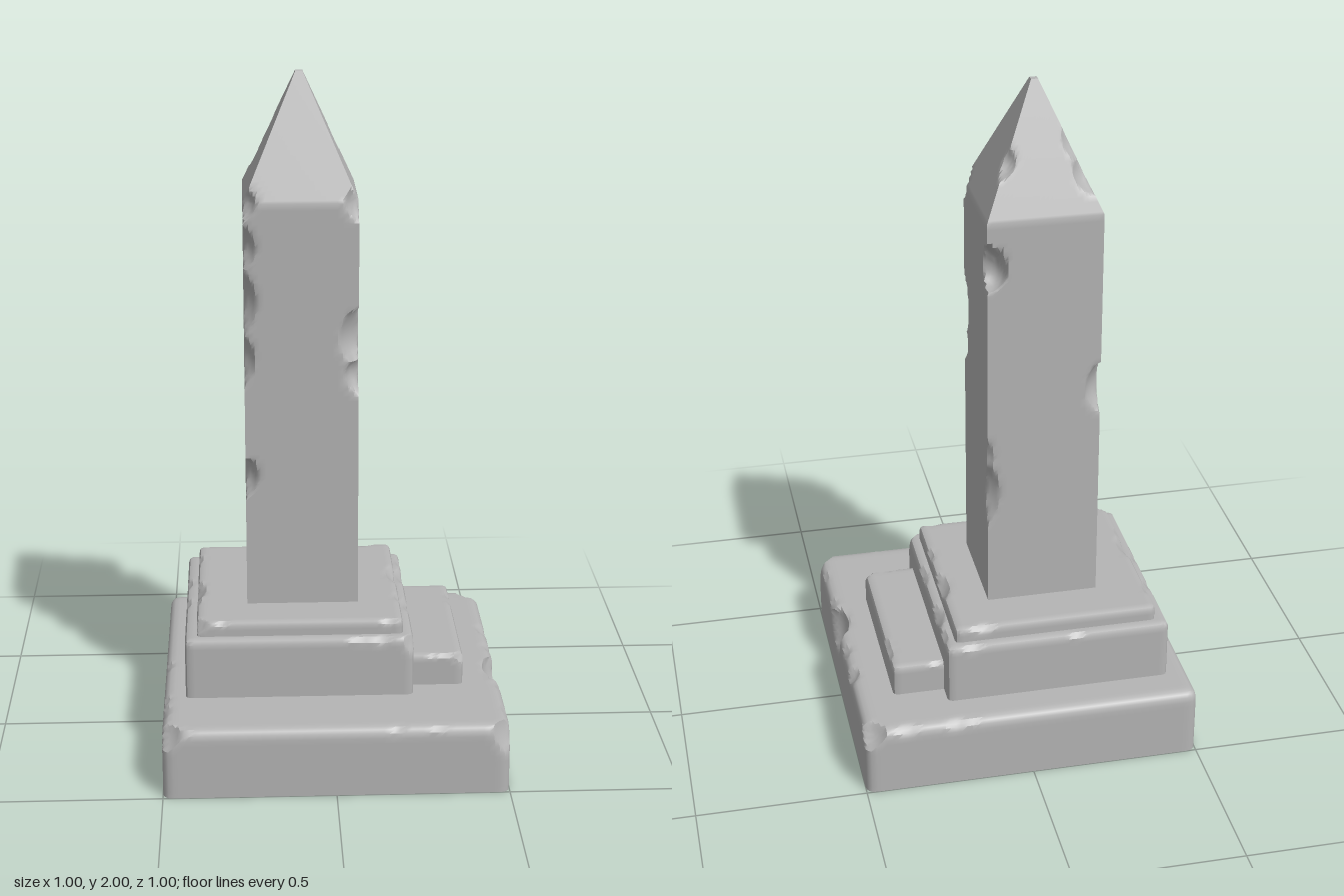
import * as THREE from 'three';
import { toCreasedNormals } from 'three/addons/utils/BufferGeometryUtils.js';

const stone = new THREE.MeshStandardMaterial({ color: 0xb4b4b4 });
stone.name = 'grey stone';

// Small seeded random for weathering
let seed = 7;
const rand = () => (seed = (seed * 16807) % 2147483647) / 2147483647;

// A chip knocks a shallow bowl out of an edge: centre, outward direction, radius, depth
const chip = (x, y, z, nx, ny, nz, radius, depth) => ({
  centre: new THREE.Vector3(x, y, z),
  normal: new THREE.Vector3(nx, ny, nz).normalize(),
  radius, depth,
});

function carve(v, chips) {
  const d = new THREE.Vector3();
  for (const c of chips) {
    d.subVectors(v, c.centre);
    const s = d.dot(c.normal);
    const t = d.addScaledVector(c.normal, -s).length() / c.radius;
    if (t >= 1 || s < -0.15) continue;
    const limit = -c.depth * (1 - t * t);
    if (s > limit) v.addScaledVector(c.normal, limit - s);
  }
}

// Apply a rule to every vertex, then smooth all but the sharp edges
function shape(geometry, rule) {
  const pos = geometry.attributes.position;
  const v = new THREE.Vector3();
  for (let i = 0; i < pos.count; i++) {
    v.fromBufferAttribute(pos, i);
    rule(v);
    pos.setXYZ(i, v.x, v.y, v.z);
  }
  geometry.deleteAttribute('normal');
  geometry.deleteAttribute('uv');
  return toCreasedNormals(geometry, 0.6);
}

function addPart(group, name, geometry) {
  const mesh = new THREE.Mesh(geometry, stone);
  mesh.name = name;
  group.add(mesh);
}

// Worn slab with rounded sides and top, and a flat underside
function slab(x0, x1, y0, y1, z0, z1, r, step, chips) {
  const w = x1 - x0, h = y1 - y0, l = z1 - z0;
  const n = (s) => Math.max(3, Math.round(s / step));
  const half = new THREE.Vector3(w / 2 - r, h / 2 - r, l / 2 - r);
  const inner = new THREE.Vector3(), off = new THREE.Vector3();
  return shape(new THREE.BoxGeometry(w, h, l, n(w), n(h), n(l)), (v) => {
    inner.copy(v).clamp(half.clone().negate(), half);
    if (v.y < 0) inner.y = v.y;
    off.subVectors(v, inner);
    if (off.length() > r) v.copy(inner).addScaledVector(off, r / off.length());
    v.add(off.set((x0 + x1) / 2, (y0 + y1) / 2, (z0 + z1) / 2));
    carve(v, chips);
  });
}

// Random small chips along the four top edges
function edgeWear(x0, x1, y, z0, z1, count, size) {
  const list = [];
  for (let i = 0; i < count; i++) {
    const t = 0.06 + 0.88 * rand();
    const side = i % 4;
    const r = size * (0.7 + rand()), d = size * (0.28 + 0.12 * rand());
    const sign = side < 2 ? 1 : -1;
    if (side % 2) list.push(chip(sign > 0 ? x1 : x0, y, z0 + t * (z1 - z0), sign, 1, 0.4 * rand() - 0.2, r, d));
    else list.push(chip(x0 + t * (x1 - x0), y, sign > 0 ? z1 : z0, 0.4 * rand() - 0.2, 1, sign, r, d));
  }
  return list;
}

export function createModel() {
  const group = new THREE.Group();
  group.name = 'weathered obelisk';

  // Broad foundation
  addPart(group, 'foundation', slab(-0.5, 0.5, 0, 0.21, -0.5, 0.5, 0.028, 0.016, [
    chip(0.5, 0.16, 0.1, 1, 0.5, 0, 0.09, 0.03),
    chip(0.5, 0.21, -0.19, 1, 1, 0, 0.05, 0.025),
    chip(0.49, 0.2, -0.49, 1, 1.2, -1, 0.09, 0.04),
    chip(-0.49, 0.2, 0.49, -1, 0.8, 1, 0.1, 0.035),
    chip(0.49, 0.18, 0.49, 1, 0.5, 1, 0.1, 0.025),
    ...edgeWear(-0.5, 0.5, 0.21, -0.5, 0.5, 12, 0.05),
  ]));

  // Two upper tiers, offset from the centre
  addPart(group, 'middleTier', slab(-0.435, 0.235, 0.19, 0.392, -0.39, 0.28, 0.016, 0.014, [
    chip(0.235, 0.37, 0.28, 1, 0.6, 1, 0.08, 0.02),
    chip(0.235, 0.39, -0.2, 1, 1, 0, 0.07, 0.018),
    ...edgeWear(-0.435, 0.235, 0.392, -0.39, 0.28, 10, 0.04),
  ]));
  addPart(group, 'topTier', slab(-0.4, 0.205, 0.36, 0.436, -0.36, 0.25, 0.014, 0.013, [
    chip(-0.4, 0.43, 0.25, -1, 1, 1, 0.07, 0.025),
    chip(0.205, 0.435, -0.11, 1, 1, 0, 0.08, 0.022),
    chip(-0.4, 0.435, 0, -1, 1, 0, 0.08, 0.018),
    ...edgeWear(-0.4, 0.205, 0.436, -0.36, 0.25, 8, 0.035),
  ]));

  // Low step on the left side
  addPart(group, 'sideStep', slab(0.2, 0.387, 0.19, 0.306, -0.325, 0.215, 0.014, 0.013, [
    chip(0.387, 0.3, 0.215, 1, 1, 1, 0.05, 0.02),
    ...edgeWear(0.2, 0.387, 0.306, -0.325, 0.215, 6, 0.03),
  ]));

  // Square shaft with a pyramid point, chipped down its corners
  const cx = -0.086, cz = -0.055, w = 0.165, shoulder = 1.65, tip = 2;
  const halfWidth = (y) => y <= shoulder ? w : w + (0.01 - w) * (y - shoulder) / (tip - shoulder);
  const corner = (sx, sz, y, radius, depth, tilt = 0) => {
    const h = halfWidth(y);
    return chip(cx + sx * h, y, cz + sz * h, sx, tilt, sz, radius, depth);
  };
  const chips = [
    corner(1, 1, 1.65, 0.07, 0.035, 0.3), corner(1, 1, 1.24, 0.1, 0.045, 0.3),
    corner(1, 1, 1.15, 0.06, 0.035, -0.3),
    corner(1, -1, 1.5, 0.07, 0.06, 0.9), corner(1, -1, 0.8, 0.11, 0.028),
    corner(1, -1, 0.92, 0.06, 0.014), corner(1, -1, 1.8, 0.045, 0.025, 0.5),
    corner(-1, -1, 1.1, 0.085, 0.035, 0.3), corner(-1, -1, 1.76, 0.06, 0.025, 0.6),
    corner(-1, -1, 1.84, 0.05, 0.014, 0.6),
    corner(-1, 1, 1.65, 0.06, 0.035, 0.2), corner(-1, 1, 1.51, 0.07, 0.03, 0.2),
    corner(-1, 1, 1.36, 0.1, 0.03), corner(-1, 1, 1.19, 0.08, 0.025),
    corner(-1, 1, 0.82, 0.07, 0.03, 0.4),
  ];
  const y0 = 0.42, height = tip - y0;
  const shaft = new THREE.BoxGeometry(2, height, 2, 22, 120, 22);
  addPart(group, 'shaft', shape(shaft, (v) => {
    v.y += y0 + height / 2;
    if (Math.abs(v.y - shoulder) < 0.0066) v.y = shoulder;
    const h = halfWidth(v.y);
    v.set(cx + v.x * h, v.y, cz + v.z * h);
    carve(v, chips);
  }));

  return group;
}
